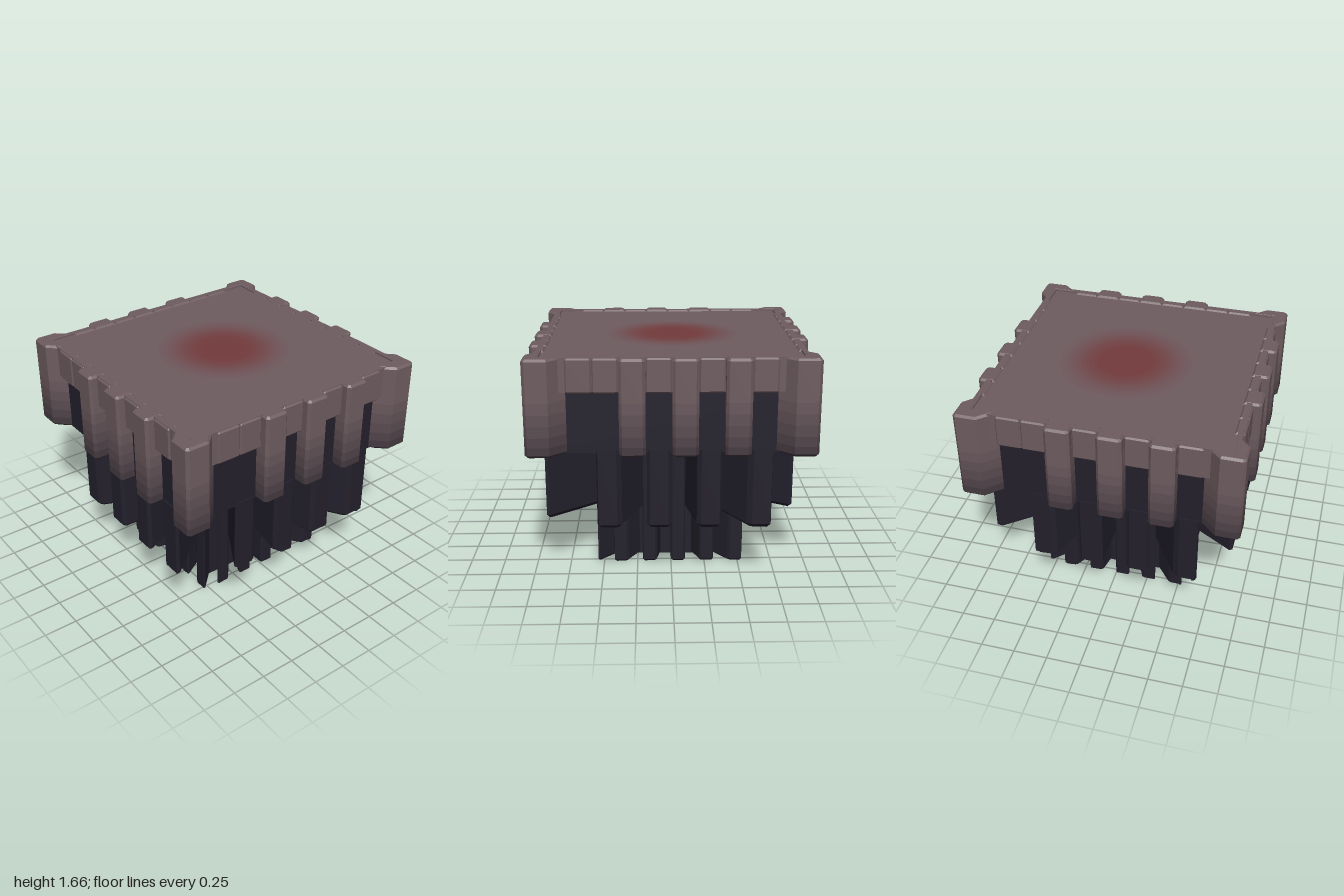
import * as THREE from 'three';

const PINK = new THREE.Color(0x6e5c60);
const DARK = new THREE.Color(0x23202c);
const RED = new THREE.Color(0x733a3c);

function material(from, to = from, t = 0) {
  return new THREE.MeshStandardMaterial({ color: from.clone().lerp(to, t), flatShading: true });
}
const pink = material(PINK);
const dark = material(DARK);
const fade = [0, 0.12, 0.26, 0.4, 0.55, 0.7].map(t => material(PINK, DARK, t));

// Moves every edge of an x/z outline inwards by d.
function inset(pts, d) {
  const n = pts.length;
  const normal = i => {
    const e = pts[(i + 1) % n].clone().sub(pts[i]).normalize();
    return new THREE.Vector2(-e.y, e.x);
  };
  return pts.map((p, i) => {
    const a = normal((i + n - 1) % n), b = normal(i);
    return a.clone().add(b).multiplyScalar(d / (1 + a.dot(b))).add(p);
  });
}

// Upright prism over an x/z outline, with optional bevels at the bottom and top.
function prism(outline, y0, y1, bevelBottom = 0, bevelTop = 0) {
  let pts = outline.map(p => new THREE.Vector2(p[0], p[1]));
  if (THREE.ShapeUtils.area(pts) < 0) pts = pts.reverse();
  const levels = [[y0, bevelBottom]];
  if (bevelBottom) levels.push([y0 + bevelBottom, 0]);
  if (bevelTop) levels.push([y1 - bevelTop, 0]);
  levels.push([y1, bevelTop]);
  const rings = levels.map(([y, d]) => inset(pts, d).map(p => [p.x, y, p.y]));
  const pos = [];
  const tri = (a, b, c) => pos.push(...a, ...b, ...c);
  for (let k = 0; k < rings.length - 1; k++) {
    const lo = rings[k], hi = rings[k + 1];
    for (let i = 0; i < lo.length; i++) {
      const j = (i + 1) % lo.length;
      tri(lo[i], hi[j], lo[j]);
      tri(lo[i], hi[i], hi[j]);
    }
  }
  const bottom = rings[0], top = rings[rings.length - 1];
  for (const [a, b, c] of THREE.ShapeUtils.triangulateShape(pts, [])) {
    tri(bottom[a], bottom[b], bottom[c]);
    tri(top[c], top[b], top[a]);
  }
  const geo = new THREE.BufferGeometry();
  geo.setAttribute('position', new THREE.Float32BufferAttribute(pos, 3));
  geo.computeVertexNormals();
  return geo;
}

function add(parent, name, geo, mat) {
  const mesh = new THREE.Mesh(geo, mat);
  mesh.name = name;
  parent.add(mesh);
  return mesh;
}

// Straight tooth outline from zIn to zOut with clipped outer corners.
const tooth = (x0, x1, zIn, zOut, c) =>
  [[x0, zIn], [x0, zOut - c], [x0 + c, zOut], [x1 - c, zOut], [x1, zOut - c], [x1, zIn]];

// Wedge outline whose side walls point at the middle axis.
function wedge(x0, x1, zIn, zOut, c) {
  const at = (x, z) => [x * z / zOut, z];
  return [at(x0, zIn), at(x0, zOut - c), [x0 + c, zOut], [x1 - c, zOut], at(x1, zOut - c), at(x1, zIn)];
}

// A tall rim piece whose colour darkens downwards in bands.
function fadingPiece(parent, name, outline) {
  const ys = [1.66, 1.36, 1.28, 1.2, 1.12, 1.05, 0.975];
  const g = new THREE.Group();
  g.name = name;
  fade.forEach((mat, i) => {
    const bevelBottom = i === fade.length - 1 ? 0.02 : 0;
    add(g, name + 'Band', prism(outline, ys[i + 1], ys[i], bevelBottom, i === 0 ? 0.015 : 0), mat);
  });
  parent.add(g);
}

function createSide() {
  const side = new THREE.Group();
  const step = 0.18;

  // Rim: flat border, long and short teeth, and a corner piece
  const border = add(side, 'rimBorder', new THREE.BoxGeometry(1.8, 0.238, 0.04), pink);
  border.position.set(0, 1.539, 0.914);
  [0, 0, 1, 0, 1, 0, 1, 0].forEach((long, i) => {
    const x = -0.72 + i * step;
    if (long) fadingPiece(side, 'longRimTooth', tooth(x, x + step, 0.87, 1, 0.02));
    else add(side, 'shortRimTooth', prism(tooth(x, x + step, 0.87, 0.945, 0.012), 1.41, 1.658, 0.015, 0.015), pink);
  });
  fadingPiece(side, 'rimCorner', [
    [0.72, 0.894], [0.81, 0.98], [0.83, 1], [0.98, 1], [1, 0.98], [1, 0.83], [0.98, 0.81], [0.894, 0.72], [0.894, 0.894]
  ]);

  // Middle tier: wedge fins below the gaps of the rim
  for (const x of [-0.54, -0.18, 0.18, 0.54]) {
    add(side, 'middleFin', prism(wedge(x, x + step, 0.36, 0.9, 0.025), 0.415, 1, 0.03), dark);
  }

  // Lower tier: narrow wedge columns running up behind the fins
  for (let i = 0; i < 5; i++) {
    const x = -0.432 + i * 0.216;
    add(side, 'lowerColumn', prism(wedge(x, x + 0.108, 0.34, 0.545, 0.012), 0, 1, 0.015), dark);
  }
  return side;
}

export function createModel() {
  const model = new THREE.Group();
  model.name = 'steppedBlock';

  // Bodies
  const block = (name, half, y0, y1, mat) => {
    const m = add(model, name, new THREE.BoxGeometry(half * 2, y1 - y0, half * 2), mat);
    m.position.y = (y0 + y1) / 2;
  };
  block('core', 0.395, 0, 1, dark);
  block('upperBody', 0.89, 0.98, 1.42, dark);
  block('topSlab', 0.895, 1.42, 1.647, pink);

  // Glow on the top, as rings fading outwards
  const glow = new THREE.Group();
  glow.name = 'topGlow';
  const count = 18, radius = 0.54;
  for (let i = 0; i < count; i++) {
    const t = THREE.MathUtils.smoothstep((i + 0.5) / count, 0.3, 1);
    const ring = new THREE.RingGeometry(radius * i / count, radius * (i + 1) / count, 40);
    add(glow, 'glowRing', ring.rotateX(-Math.PI / 2), material(RED, PINK, t));
  }
  glow.position.set(0.05, 1.649, -0.02);
  model.add(glow);

  // Four equal sides, turned around the middle
  for (let k = 0; k < 4; k++) {
    const side = createSide();
    side.name = ['front', 'left', 'back', 'right'][k] + 'Side';
    side.rotation.y = k * Math.PI / 2;
    model.add(side);
  }
  return model;
}
